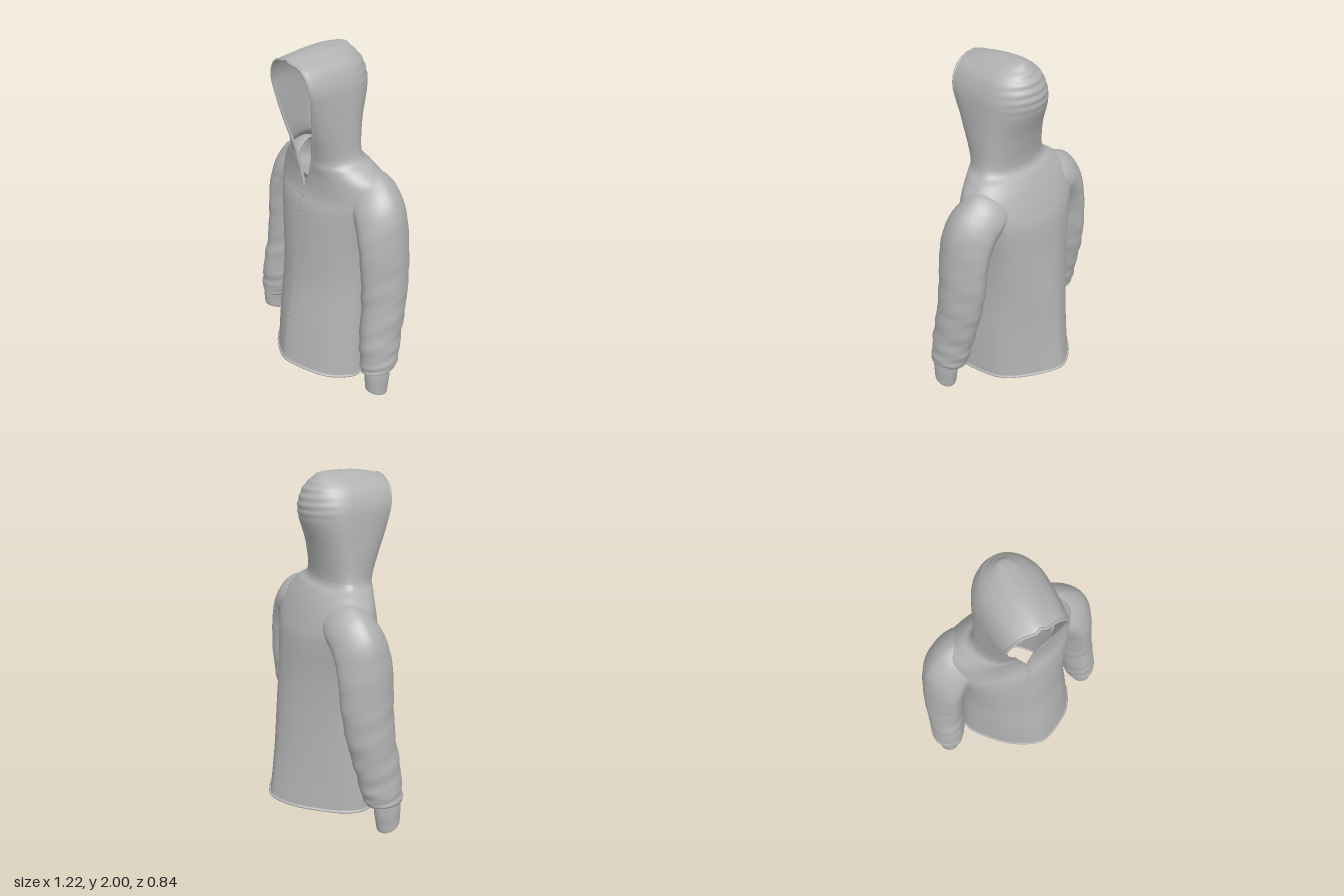
import * as THREE from 'three';

const fabric = new THREE.MeshStandardMaterial({ color: 0xb0b0b0, side: THREE.DoubleSide });
fabric.name = 'grey fabric';

// Skin a grid of cross-sections, each an array of points
function loft(rows, closed) {
  const n = rows[0].length, index = [];
  const cols = closed ? n : n - 1;
  for (let i = 0; i < rows.length - 1; i++) {
    for (let j = 0; j < cols; j++) {
      const k = (j + 1) % n;
      const a = i * n + j, b = i * n + k, c = a + n, d = b + n;
      index.push(a, b, c, b, d, c);
    }
  }
  const geo = new THREE.BufferGeometry().setFromPoints(rows.flat());
  geo.setIndex(index);
  geo.computeVertexNormals();
  return geo;
}

// Smooth interpolation between table rows; t is the row number
function smoothTable(table) {
  const size = table[0].length;
  const curve = new THREE.CubicInterpolant(table.map((_, i) => i), table.flat(), size);
  return (t) => Array.from(curve.evaluate(t));
}

function part(name, geo) {
  const mesh = new THREE.Mesh(geo, fabric);
  mesh.name = name;
  return mesh;
}

// Jacket and hood: height, half width, front z, back z, widest z, half opening, roundness
const shell = smoothTable([
  [0.08, 0.375, 0.41, -0.41, 0.03, 0, 1.5],
  [0.35, 0.352, 0.368, -0.37, 0.025, 0, 1.6],
  [0.65, 0.328, 0.305, -0.335, 0.015, 0, 1.8],
  [0.9, 0.33, 0.27, -0.295, 0, 0, 2.1],
  [1.1, 0.365, 0.238, -0.265, -0.02, 0, 2.2],
  [1.2, 0.39, 0.205, -0.232, -0.035, 0, 2.2],
  [1.3, 0.375, 0.195, -0.185, -0.035, 0.035, 2],
  [1.37, 0.295, 0.2, -0.14, -0.01, 0.058, 2],
  [1.43, 0.231, 0.203, -0.096, 0.02, 0.075, 2],
  [1.6, 0.212, 0.237, -0.12, 0.03, 0.128, 2],
  [1.75, 0.2, 0.262, -0.17, 0.03, 0.16, 2],
  [1.83, 0.189, 0.275, -0.178, 0.03, 0.165, 2],
  [1.9, 0.163, 0.284, -0.158, 0.03, 0.137, 2],
  [1.94, 0.132, 0.289, -0.13, 0.03, 0.09, 2],
  [1.965, 0.1, 0.293, -0.105, 0.03, 0, 2],
  [1.99, 0.055, 0.18, -0.08, 0.03, 0, 2],
  [2.0, 0, 0.07, -0.05, 0.02, 0, 2],
]);

// Point on the shell; a = 0 is the front, a = PI the back
function shellPoint(t, a) {
  const [y, w, zf, zb, zmid, openRaw, round] = shell(t);
  const open = Math.max(0, openRaw), s = Math.sin(a), c = Math.cos(a);
  const side = a <= Math.PI ? 1 : -1;
  const flare = Math.max(0, 1 - y / 1.1);
  // the left half hangs squarer, the right half is drawn into a flat diagonal
  const square = side > 0 ? (c > 0 ? 0.25 : 0.8) : (c > 0 ? 0.1 : -0.15);
  const p = round + flare * square * s * s;
  const zm = zmid + flare * (side > 0 ? 0.09 : -0.02);
  const u = Math.pow(Math.abs(s), 2 / p), v = Math.pow(Math.abs(c), 2 / p);
  let x = side * (c > 0 ? open + (w - open) * u : w * u);
  let z = zm + (c > 0 ? zf - zm : zb - zm) * v;
  // hanging folds towards the hem
  const fold = 1 + 0.012 * flare * Math.sin(9 * a + 0.6) * s * s;
  x *= fold;
  z *= fold;
  // the front edge swings aside near the hem
  if (c > 0) x += 0.035 * flare * v;
  // gathers on the crown of the hood
  const crown = THREE.MathUtils.smoothstep(y, 1.7, 1.85) * (1 - THREE.MathUtils.smoothstep(y, 1.93, 1.98));
  if (c < 0) z += 0.003 * crown * v * Math.sin(y * 150 + 2 * s);
  // hem dips at the sides and lifts at the front
  const low = Math.max(0, 1 - t);
  return new THREE.Vector3(x, y - low * (0.025 * s * s - (c > 0 ? 0.022 * c * c : 0)), z);
}

function shellGeometry(t0, t1, steps) {
  const rows = [];
  for (let i = 0; i <= steps; i++) {
    const t = t0 + (t1 - t0) * i / steps, row = [];
    for (let j = 0; j <= 96; j++) row.push(shellPoint(t, j / 96 * Math.PI * 2));
    rows.push(row);
  }
  return loft(rows, false);
}

// Sleeve and cuff centre lines: x, y, z, thickness radius, depth radius
const sleevePath = smoothTable([
  [0.22, 1.235, -0.045, 0.125, 0.13],
  [0.29, 1.205, -0.04, 0.15, 0.15],
  [0.37, 1.13, -0.025, 0.145, 0.16],
  [0.42, 1.0, -0.015, 0.121, 0.165],
  [0.445, 0.8, -0.012, 0.117, 0.158],
  [0.465, 0.6, 0.005, 0.115, 0.145],
  [0.487, 0.4, 0.042, 0.107, 0.135],
  [0.503, 0.26, 0.06, 0.106, 0.12],
  [0.513, 0.19, 0.075, 0.095, 0.107],
  [0.522, 0.165, 0.087, 0.058, 0.07],
]);
const cuffPath = smoothTable([
  [0.52, 0.21, 0.088, 0.064, 0.08],
  [0.524, 0.14, 0.09, 0.065, 0.081],
  [0.526, 0.08, 0.094, 0.062, 0.075],
  [0.527, 0.028, 0.097, 0.061, 0.067],
  [0.527, 0.032, 0.097, 0.046, 0.05],
  [0.527, 0.04, 0.097, 0, 0],
]);

// Signed power, for cross-sections between an ellipse and a diamond
const bend = (v, e) => Math.sign(v) * Math.pow(Math.abs(v), e);

function limbGeometry(path, last, steps, side, wrinkle) {
  const rows = [];
  for (let i = 0; i <= steps; i++) {
    const t = last * i / steps;
    const [x, y, z, rx, rz] = path(t);
    const e = 0.02, p = path(Math.max(0, t - e)), q = path(Math.min(last, t + e));
    // cuffs keep level rings; sleeves turn with the path
    const dir = wrinkle ? new THREE.Vector2(q[0] - p[0], q[1] - p[1]).normalize() : new THREE.Vector2(0, -1);
    const low = THREE.MathUtils.smoothstep(t, 2, 7);
    // the upper sleeve lies flatter than the gathered end
    const sharp = wrinkle ? 1.2 - 0.2 * low : 1;
    const row = [];
    for (let j = 0; j < 40; j++) {
      const a = side * j / 40 * Math.PI * 2;
      const r = 1 + wrinkle * (0.2 + low) * (Math.sin(t * 7 + 2 * Math.sin(a + side)) * 0.6
        + Math.sin(t * 11 - 3 * a * side) * 0.4);
      const n = rx * r * bend(Math.cos(a), sharp), depth = rz * r * bend(Math.sin(a), sharp);
      // cuff mouth is lower at the back
      const tilt = wrinkle ? 0 : 0.35 * depth * Math.min(1, t / 3);
      row.push(new THREE.Vector3(side * (x - dir.y * n), y + dir.x * n + tilt, z + depth));
    }
    rows.push(row);
  }
  return loft(rows, true);
}

function tube(points, radius, closed) {
  return new THREE.TubeGeometry(new THREE.CatmullRomCurve3(points, closed), points.length * 2, radius, 8, closed);
}

export function createModel() {
  const model = new THREE.Group();
  model.name = 'hoodedJacket';
  model.add(part('jacketBody', shellGeometry(0, 8, 64)));
  model.add(part('hood', shellGeometry(8, 16, 80)));

  // Rolled hem
  const hem = [];
  for (let j = 0; j < 64; j++) hem.push(shellPoint(0, j / 64 * Math.PI * 2));
  model.add(part('hem', tube(hem, 0.009, true)));

  // Edge binding around the hood opening
  const rim = [];
  for (let i = 0; i <= 28; i++) rim.push(shellPoint(5.1 + 8.9 * i / 28, 0));
  const mirrored = rim.slice(0, -1).reverse().map((p) => new THREE.Vector3(-p.x, p.y, p.z));
  model.add(part('hoodBinding', tube([...rim, ...mirrored], 0.008, false)));

  // Sleeves and cuffs
  for (const [name, side] of [['left', 1], ['right', -1]]) {
    model.add(part(name + 'Sleeve', limbGeometry(sleevePath, 9, 110, side, 0.03)));
    model.add(part(name + 'Cuff', limbGeometry(cuffPath, 5, 30, side, 0)));
  }

  // Zip teeth and pull
  const zip = new THREE.Group();
  zip.name = 'zip';
  for (let i = 0; i < 32; i++) {
    const p = shellPoint(0.1 + 4.9 * i / 31, 0);
    const tooth = part('zipTooth', new THREE.BoxGeometry(0.01, 0.014, 0.008));
    tooth.position.copy(p);
    zip.add(tooth);
  }
  const pull = part('zipPull', new THREE.TorusGeometry(0.011, 0.004, 6, 14));
  pull.position.set(0, 1.185, 0.222);
  zip.add(pull);
  model.add(zip);
  return model;
}
